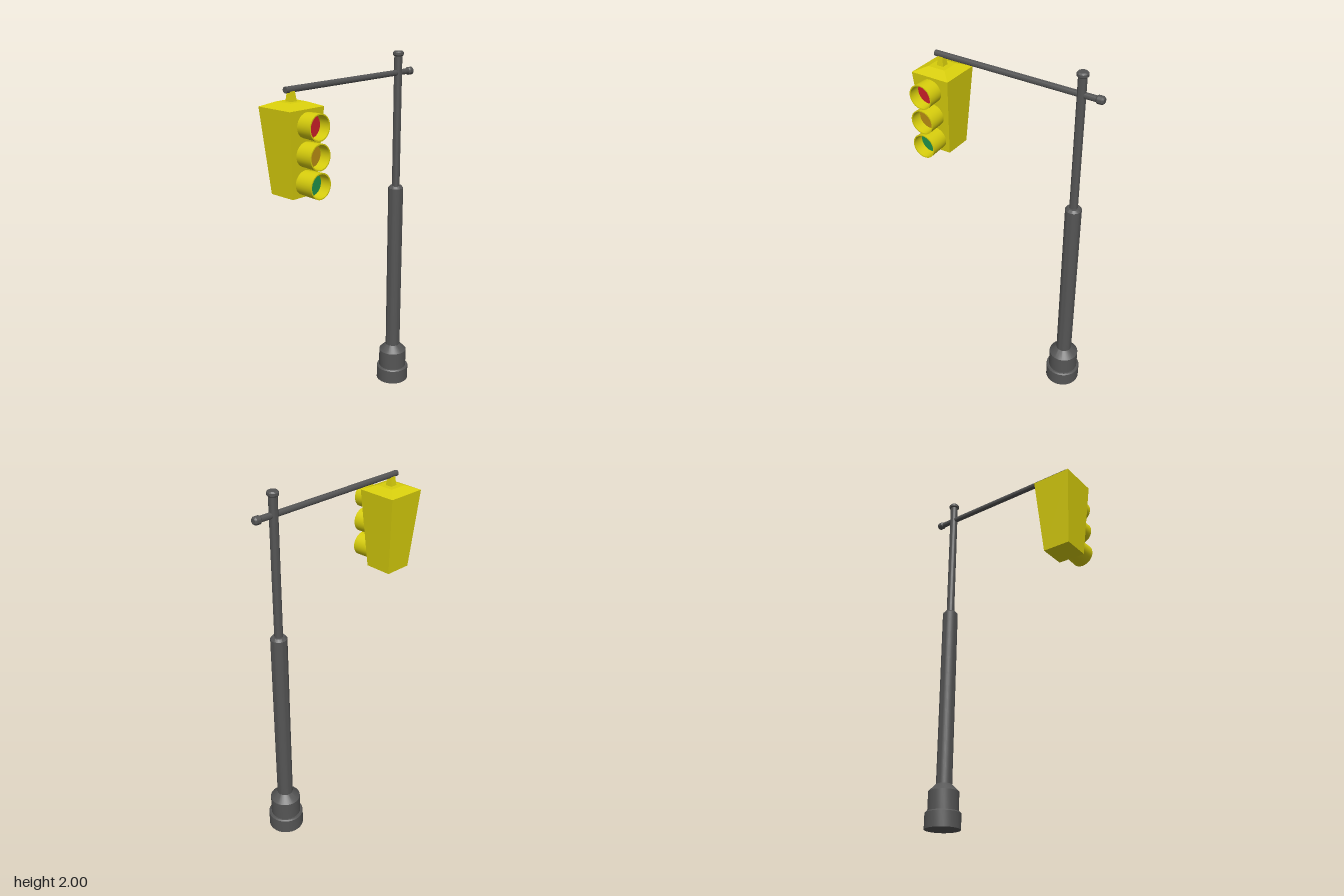
import * as THREE from 'three';
import { toCreasedNormals } from 'three/addons/utils/BufferGeometryUtils.js';

const material = (name, color) => {
  const m = new THREE.MeshStandardMaterial({ color });
  m.name = name;
  return m;
};

export function createModel() {
  const steel = material('dark grey steel', 0x555555);
  const yellow = material('signal yellow', 0xd8ce0c);
  const red = material('red lens', 0xcb1f28);
  const amber = material('amber lens', 0xb88c12);
  const green = material('green lens', 0x209049);

  const model = new THREE.Group();
  model.name = 'trafficLight';

  const add = (parent, name, geometry, mat, x = 0, y = 0, z = 0) => {
    const mesh = new THREE.Mesh(geometry, mat);
    mesh.name = name;
    mesh.position.set(x, y, z);
    parent.add(mesh);
    return mesh;
  };

  // Turned part from [radius, height] pairs, with crisp edges
  const turned = (profile) => toCreasedNormals(
    new THREE.LatheGeometry(profile.map(([r, h]) => new THREE.Vector2(r, h)), 32), 0.5);

  // Four-sided tapered block from half-widths, standing on y = 0
  const taperedBlock = (bottom, top, height) => toCreasedNormals(
    new THREE.CylinderGeometry(top * Math.SQRT2, bottom * Math.SQRT2, height, 4)
      .rotateY(Math.PI / 4).translate(0, height / 2, 0), 0.1);

  const axisZ = -0.042, poleX = 0.39, signalX = -0.398;

  // Pole: stepped foot, thick shaft, thin mast and cap
  add(model, 'poleBase', turned([
    [0, 0], [0.096, 0], [0.096, 0.083], [0.09, 0.09], [0.082, 0.09],
    [0.082, 0.196], [0.043, 0.235], [0, 0.235],
  ]), steel, poleX, 0, axisZ);
  add(model, 'lowerShaft', turned([
    [0.043, 0.23], [0.043, 1.237], [0.032, 1.25], [0, 1.25],
  ]), steel, poleX, 0, axisZ);
  add(model, 'upperMast', turned([
    [0.022, 1.245], [0.022, 1.98],
  ]), steel, poleX, 0, axisZ);
  add(model, 'mastCap', turned([
    [0, 1.974], [0.023, 1.974], [0.029, 1.98], [0.029, 1.993], [0.023, 2], [0, 2],
  ]), steel, poleX, 0, axisZ);

  // Cross arm with a knob beyond the pole
  add(model, 'crossArm', turned([
    [0, -0.435], [0.0155, -0.435], [0.0155, 0.475], [0, 0.475],
  ]).rotateZ(-Math.PI / 2), steel, 0, 1.886, axisZ);
  add(model, 'armKnob', turned([
    [0, 0.468], [0.015, 0.468], [0.021, 0.475], [0.021, 0.499], [0.014, 0.508], [0, 0.508],
  ]).rotateZ(-Math.PI / 2), steel, 0, 1.886, axisZ);

  // Signal head hanging from the arm
  const signal = new THREE.Group();
  signal.name = 'signalHead';
  signal.position.set(signalX, 0, axisZ);
  model.add(signal);
  add(signal, 'housing', taperedBlock(0.077, 0.11, 0.432), yellow, 0, 1.374);
  add(signal, 'housingRoof', taperedBlock(0.11, 0.05, 0.024), yellow, 0, 1.806);
  add(signal, 'hanger', taperedBlock(0.02, 0.013, 0.055), yellow, 0, 1.825);

  // Lamps: open round visor with a recessed lens
  const lamps = [['red', red, 1.73], ['amber', amber, 1.589], ['green', green, 1.448]];
  for (const [name, lens, y] of lamps) {
    add(signal, name + 'Visor', turned([
      [0.061, 0.06], [0.066, 0.193], [0.06, 0.193], [0.058, 0.06],
    ]).rotateX(Math.PI / 2), yellow, 0, y);
    add(signal, name + 'Lens', new THREE.CircleGeometry(0.0595, 32), lens, 0, y, 0.132);
  }

  return model;
}
